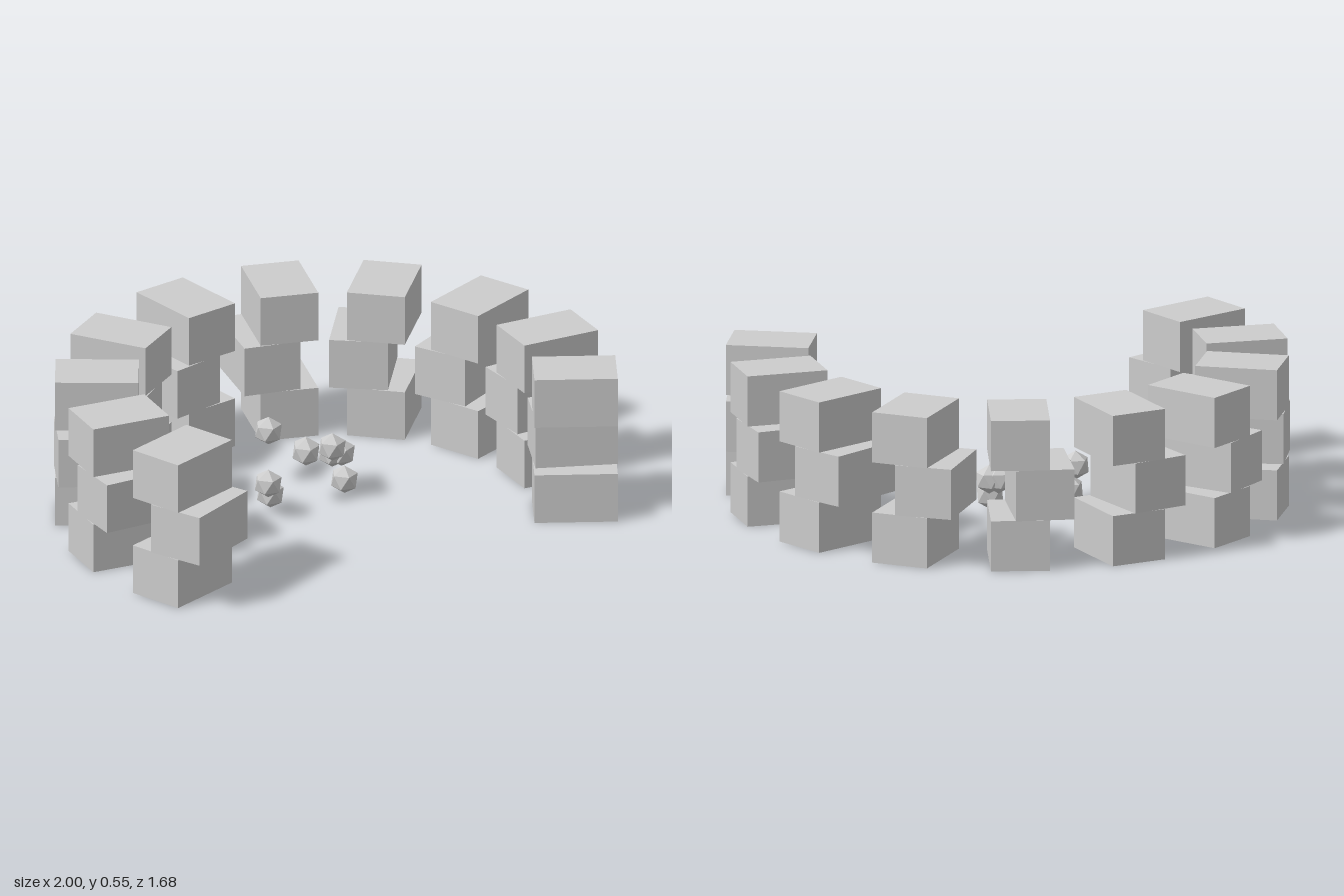
import * as THREE from 'three';

export function createModel() {
  const model = new THREE.Group();
  const grey = new THREE.MeshStandardMaterial({ color: 0xcccccc, flatShading: true });
  grey.name = 'light grey';

  // Ring of stacked blocks, open at the front; middle course is staggered
  const radius = 0.848, centreZ = 0.16, step = 0.441, stagger = 0.089;
  const courseHeight = 0.184;
  const blockGeometry = new THREE.BoxGeometry(0.21, courseHeight, 0.296);

  for (let i = -4; i <= 5; i++) {
    const stack = new THREE.Group();
    stack.name = 'blockStack';
    for (let course = 0; course < 3; course++) {
      const angle = i * step - (course === 1 ? stagger : 0);
      const block = new THREE.Mesh(blockGeometry, grey);
      block.name = 'block';
      block.position.set(
        radius * Math.sin(angle),
        (course + 0.5) * courseHeight,
        centreZ - radius * Math.cos(angle)
      );
      block.rotation.y = -angle;
      stack.add(block);
    }
    model.add(stack);
  }

  // Loose pile of faceted pebbles, each with a corner pointing straight up
  const pebbleGeometry = new THREE.IcosahedronGeometry(0.053, 0);
  pebbleGeometry.rotateZ(Math.atan(2 / (1 + Math.sqrt(5))));
  const pebbles = new THREE.Group();
  pebbles.name = 'pebbles';
  const spots = [
    [-0.005, 0.2, -0.215], [0.19, 0.06, -0.245], [-0.15, 0.06, -0.025],
    [-0.2, 0.13, 0.025], [-0.02, 0.2, 0.015], [0.08, 0.2, 0.04],
    [0.135, 0.06, 0.04], [0.14, 0.135, -0.035], [0.17, 0.135, -0.02],
  ];
  for (const [x, y, z] of spots) {
    const pebble = new THREE.Mesh(pebbleGeometry, grey);
    pebble.name = 'pebble';
    pebble.position.set(x, y, z);
    pebbles.add(pebble);
  }
  model.add(pebbles);

  return model;
}
